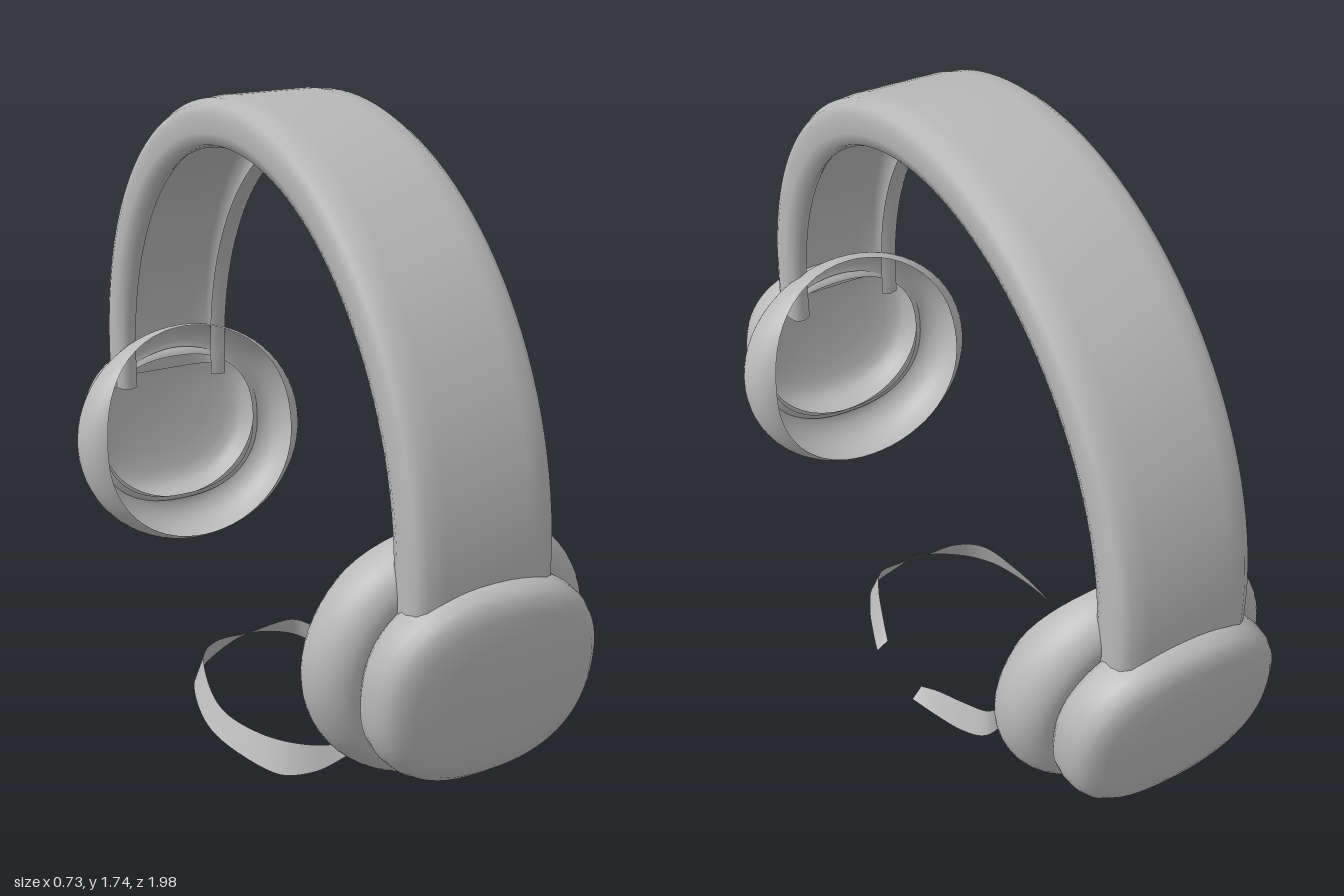
import * as THREE from 'three';
import { mergeVertices } from 'three/addons/utils/BufferGeometryUtils.js';

// Smooth skin through rows of points, each row having the same count
function loft(rows) {
  const n = rows[0].length, pos = [], index = [];
  rows.forEach(row => row.forEach(p => pos.push(p.x, p.y, p.z)));
  for (let i = 0; i < rows.length - 1; i++) {
    for (let j = 0; j < n - 1; j++) {
      const a = i * n + j, b = a + n;
      index.push(a, b, a + 1, a + 1, b, b + 1);
    }
  }
  const g = new THREE.BufferGeometry();
  g.setAttribute('position', new THREE.Float32BufferAttribute(pos, 3));
  g.setIndex(index);
  const merged = mergeVertices(g, 1e-5);
  merged.computeVertexNormals();
  return merged;
}

const V = (x, y, z) => new THREE.Vector3(x, y, z);

// Headband: hollow channel section swept over a half circle with straight ends
function bandGeometry() {
  const half = [[0.125, 0.815], [0.15, 0.802], [0.172, 0.81], [0.182, 0.84], [0.184, 0.885],
    [0.176, 0.91], [0.155, 0.925], [0.11, 0.93], [0, 0.93]];
  const section = [...half, ...half.slice(0, -1).reverse().map(([x, r]) => [-x, r])];
  const cy = 0.812, rows = [];
  const addRow = (angle, drop) => rows.push(section.map(([x, r]) =>
    V(x - 0.015, cy - drop + r * Math.sin(angle), r * Math.cos(angle))));
  addRow(0, 0.08);
  for (let i = 0; i <= 64; i++) addRow(Math.PI * i / 64, 0);
  addRow(Math.PI, 0.08);
  return loft(rows);
}

// Ear cushion: bulging open shell, its rim cut back towards the top
function cushionGeometry() {
  const rows = [];
  for (let i = 0; i <= 64; i++) {
    const t = (i % 64) / 64 * Math.PI * 2, s = Math.sin(t);
    const start = -72 + (s > 0 ? 72 : 22) * s * s;
    const row = [];
    for (let j = 0; j <= 16; j++) {
      const a = THREE.MathUtils.degToRad(start + (102 - start) * j / 16);
      const r = 0.28 + 0.085 * Math.cos(a);
      const y = 0.93 * r * s;
      row.push(V(r * Math.cos(t), 0.585 + y, 0.735 + 0.095 * Math.sin(a) + 0.08 * y));
    }
    rows.push(row);
  }
  return loft(rows);
}

// Outer cap: shallow domed dish with a slightly squared oval outline
function capGeometry() {
  const profile = [[0.258, 0.822], [0.276, 0.828], [0.286, 0.845], [0.29, 0.88], [0.286, 0.915],
    [0.275, 0.94], [0.255, 0.957], [0.22, 0.968], [0.15, 0.977], [0.07, 0.981], [0, 0.982]];
  const soft = v => Math.sign(v) * Math.pow(Math.abs(v), 2 / 2.35);
  const rows = [];
  for (let i = 0; i <= 64; i++) {
    const t = (i % 64) / 64 * Math.PI * 2;
    rows.push(profile.map(([r, z]) => {
      const y = 0.88 * r * soft(Math.sin(t));
      return V(r * soft(Math.cos(t)), 0.575 + y, z + 0.1 * y);
    }));
  }
  return loft(rows);
}

// Loose ribbon on the ground, open on one side: x, z, lower y, upper y
function ribbonGeometry() {
  const half = [[-0.275, 0, 0, 0.06], [-0.25, 0.16, 0, 0.072], [-0.2, 0.28, 0, 0.088],
    [-0.12, 0.335, 0.02, 0.085], [0, 0.35, 0.058, 0.075], [0.1, 0.35, 0.042, 0.085],
    [0.17, 0.345, 0.015, 0.085], [0.215, 0.28, 0, 0.08], [0.255, 0.18, 0, 0.06],
    [0.278, 0.11, 0, 0.03]];
  const all = [...half.slice(1).reverse().map(([x, z, a, b]) => [x, -z, a, b]), ...half];
  const edge = (k, inset) => new THREE.CatmullRomCurve3(all.map(p =>
    V(p[0] * (1 - inset), p[k], p[1] * (1 - inset * 0.5))));
  const low = edge(2, 0), high = edge(3, 0.12);
  const rows = [];
  for (let i = 0; i <= 90; i++) {
    const a = low.getPoint(i / 90), b = high.getPoint(i / 90);
    a.y = Math.max(a.y, 0);
    rows.push([a, b]);
  }
  return loft(rows);
}

export function createModel() {
  const grey = new THREE.MeshStandardMaterial({ color: 0xb8b8b8, side: THREE.DoubleSide });
  grey.name = 'plain grey';
  const model = new THREE.Group();
  model.name = 'headphones';
  const add = (parent, name, geometry) => {
    const mesh = new THREE.Mesh(geometry, grey);
    mesh.name = name;
    parent.add(mesh);
  };

  add(model, 'headband', bandGeometry());

  // Matching ear cups at both ends of the band
  const cushion = cushionGeometry(), cap = capGeometry();
  ['frontEarCup', 'backEarCup'].forEach((name, i) => {
    const cup = new THREE.Group();
    cup.name = name;
    add(cup, 'earCushion', cushion);
    add(cup, 'outerCap', cap);
    cup.rotation.y = Math.PI * i;
    model.add(cup);
  });

  add(model, 'groundRibbon', ribbonGeometry());
  return model;
}
